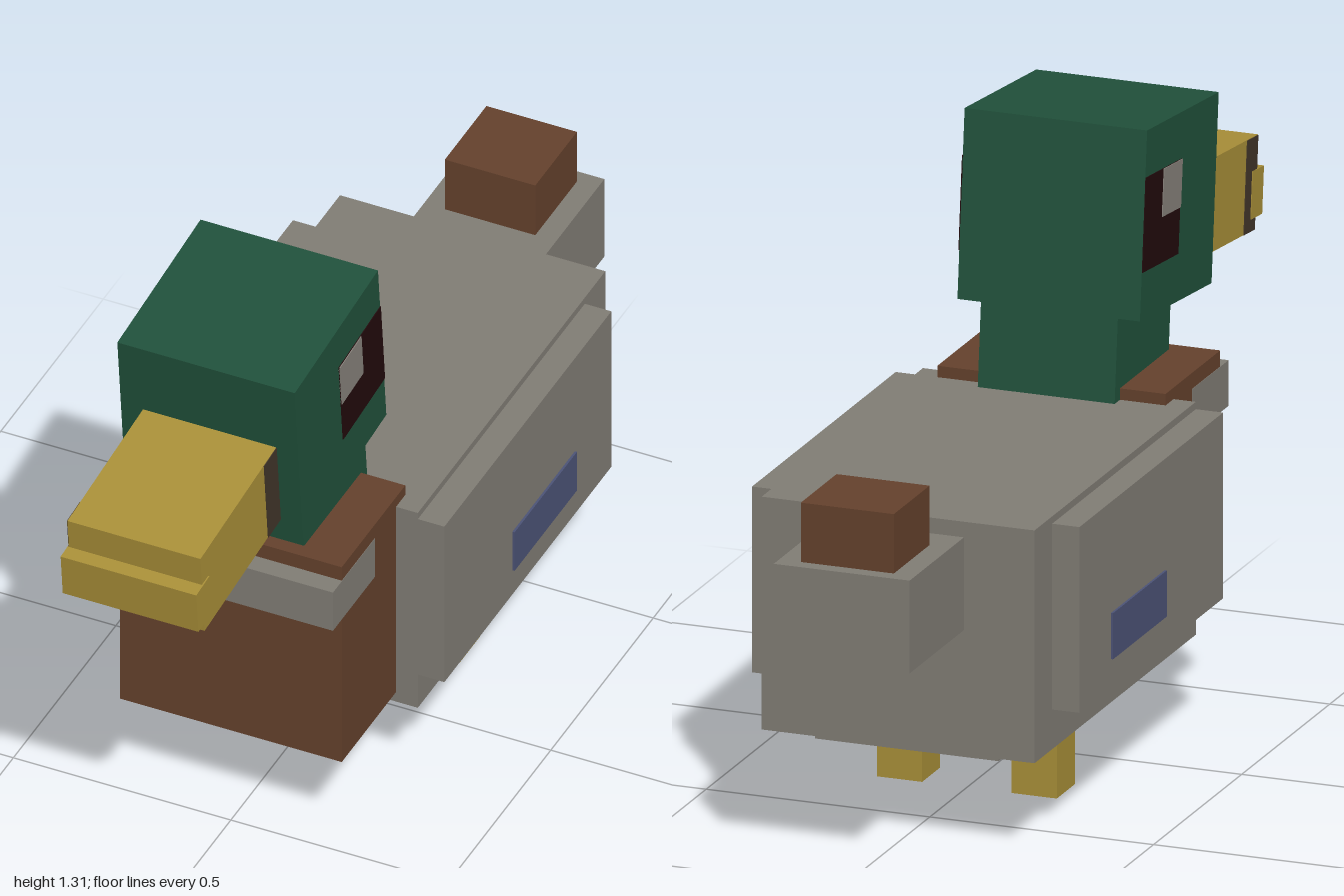
import * as THREE from 'three';

const paint = (name, color) => {
  const m = new THREE.MeshStandardMaterial({ color });
  m.name = name;
  return m;
};

export function createModel() {
  const grey = paint('feather grey', 0x827e76);
  const green = paint('head green', 0x21523c);
  const brown = paint('breast brown', 0x66422d);
  const gold = paint('bill gold', 0xab9139);
  const blue = paint('wing blue', 0x4d5478);
  const black = paint('eye black', 0x220a0c);
  const shine = paint('eye shine', 0x88837c);
  const umber = paint('bill umber', 0x42362a);

  // Box given by its extents on each axis
  const box = (parent, name, material, [x0, x1], [y0, y1], [z0, z1]) => {
    const mesh = new THREE.Mesh(new THREE.BoxGeometry(x1 - x0, y1 - y0, z1 - z0), material);
    mesh.position.set((x0 + x1) / 2, (y0 + y1) / 2, (z0 + z1) / 2);
    mesh.name = name;
    parent.add(mesh);
    return mesh;
  };
  // Extents on the left (side = 1) or mirrored to the right (side = -1)
  const span = (side, a, b) => (side > 0 ? [a, b] : [-b, -a]);
  const wide = (w) => [-w, w];

  const model = new THREE.Group();
  model.name = 'duck';

  // Trunk
  box(model, 'body', grey, wide(0.305), [0.21, 0.72], [-0.68, 0.235]);
  box(model, 'belly', grey, wide(0.205), [0.187, 0.22], [-0.63, 0.185]);
  box(model, 'breast', brown, wide(0.255), [0.235, 0.745], [0.19, 0.5]);
  box(model, 'collar', grey, wide(0.256), [0.61, 0.71], [0.34, 0.545]);

  // Tail
  box(model, 'tail', grey, wide(0.152), [0.487, 0.69], [-1, -0.692]);
  box(model, 'tailTuft', brown, wide(0.104), [0.69, 0.82], [-0.968, -0.765]);

  // Head, neck and bill share one forward tilt
  const head = new THREE.Group();
  head.name = 'head';
  head.position.set(0, 1.085, 0.3975);
  head.rotation.x = 0.1;
  model.add(head);
  box(head, 'skull', green, wide(0.204), wide(0.204), wide(0.204));
  box(head, 'neck', green, wide(0.153), [-0.41, -0.2], [-0.2, 0.103]);
  box(head, 'bill', gold, wide(0.153), [-0.17, 0.033], [0.2, 0.575]);
  box(head, 'billTip', gold, wide(0.156), [-0.143, -0.04], [0.545, 0.609]);
  // Bill patches: at the base on the left, at the tip on the right
  box(head, 'billPatchLeft', umber, [0.152, 0.1545], [-0.17, 0.032], [0.204, 0.265]);
  box(head, 'billPatchRight', umber, [-0.1545, -0.152], [-0.17, 0.032], [0.512, 0.574]);

  for (const side of [1, -1]) {
    const tag = side > 0 ? 'Left' : 'Right';
    // Eye
    box(head, 'eye' + tag, black, span(side, 0.203, 0.206), [-0.1, 0.103], [-0.204, 0]);
    box(head, 'eyeShine' + tag, shine, span(side, 0.204, 0.208), [0, 0.103], [-0.105, 0]);
    // Wing with its stripe
    box(model, 'wing' + tag, grey, span(side, 0.3, 0.366), [0.297, 0.704], [-0.58, 0.235]);
    box(model, 'wingStripe' + tag, blue, span(side, 0.364, 0.371), [0.36, 0.461], [-0.402, -0.097]);
    // Leg
    box(model, 'leg' + tag, gold, span(side, 0.1, 0.201), [0, 0.19], [-0.29, -0.188]);
  }
  return model;
}
